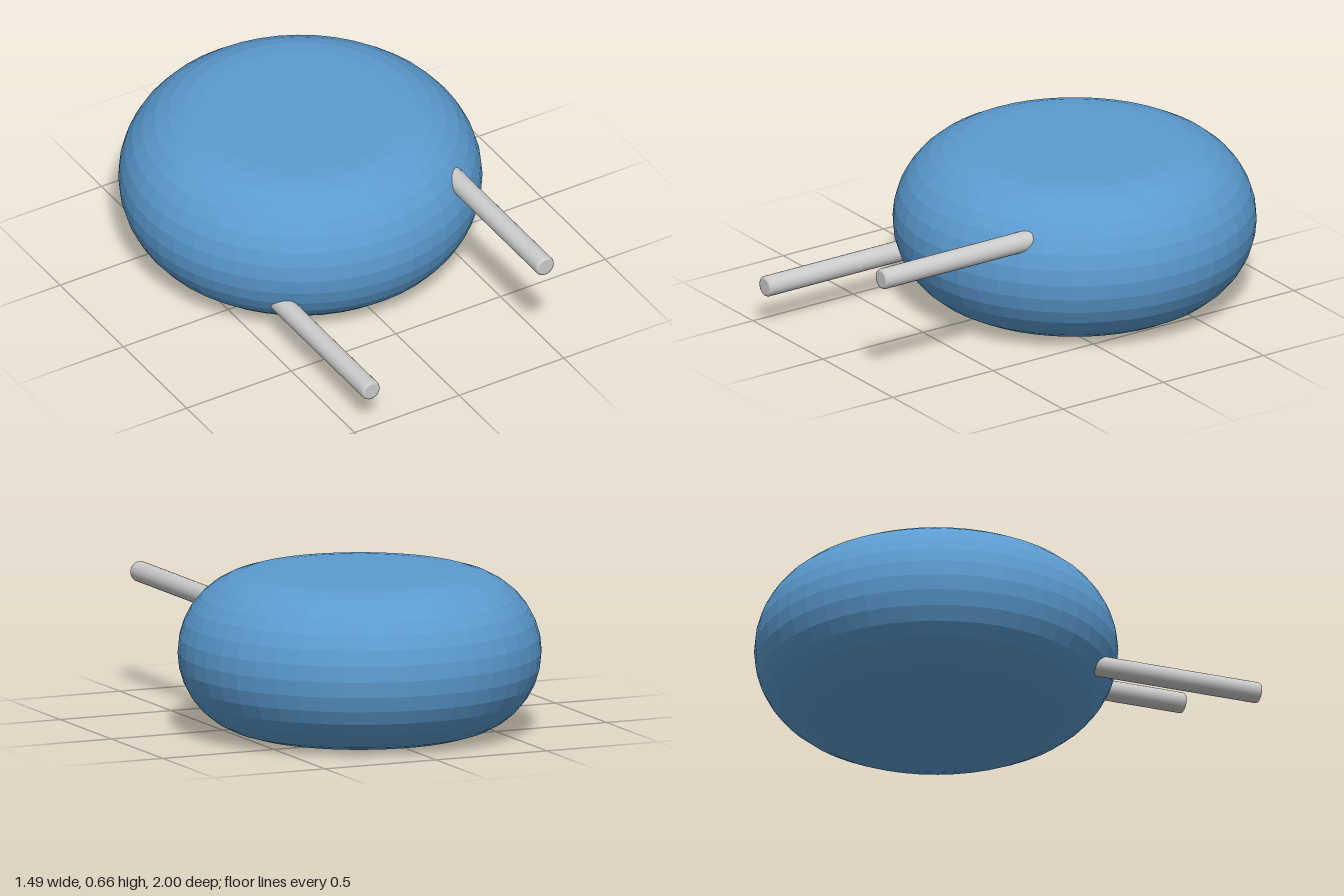
import * as THREE from 'three';

const BODY_RADIUS = 0.745, EDGE = 0.332, BODY_Z = -0.255;
const PIN_RADIUS = 0.043, PIN_BACK = 0.1, PIN_FRONT = 1;

// Disc with a fully rounded rim
function makeBody() {
  const flat = BODY_RADIUS - EDGE, steps = 16;
  const profile = [new THREE.Vector2(0, 0)];
  for (let i = 0; i <= steps; i++) {
    const a = -Math.PI / 2 + (Math.PI * i) / steps;
    profile.push(new THREE.Vector2(flat + EDGE * Math.cos(a), EDGE + EDGE * Math.sin(a)));
  }
  profile.push(new THREE.Vector2(0, 2 * EDGE));
  const body = new THREE.Mesh(
    new THREE.LatheGeometry(profile, 48),
    new THREE.MeshStandardMaterial({ color: 0x5b9bd0, flatShading: true })
  );
  body.name = 'roundedBody';
  body.position.z = BODY_Z;
  return body;
}

// Straight wire lead with a small bevel at its free end
function makeLead(name, x, y) {
  const length = PIN_FRONT - PIN_BACK, bevel = 0.01;
  const profile = [
    [0, 0], [PIN_RADIUS, 0], [PIN_RADIUS, 0], [PIN_RADIUS, length - bevel],
    [PIN_RADIUS - bevel * 0.3, length - bevel * 0.3],
    [PIN_RADIUS - bevel, length], [PIN_RADIUS - bevel, length], [0, length],
  ].map(([r, h]) => new THREE.Vector2(r, h));
  const geometry = new THREE.LatheGeometry(profile, 24);
  geometry.rotateX(Math.PI / 2);
  const lead = new THREE.Mesh(geometry, new THREE.MeshStandardMaterial({ color: 0xcccccc }));
  lead.name = name;
  lead.position.set(x, y, PIN_BACK);
  return lead;
}

export function createModel() {
  const model = new THREE.Group();
  model.name = 'discComponent';
  model.add(
    makeBody(),
    makeLead('leftLead', 0.414, 0.493),
    makeLead('rightLead', -0.418, 0.178)
  );
  return model;
}
